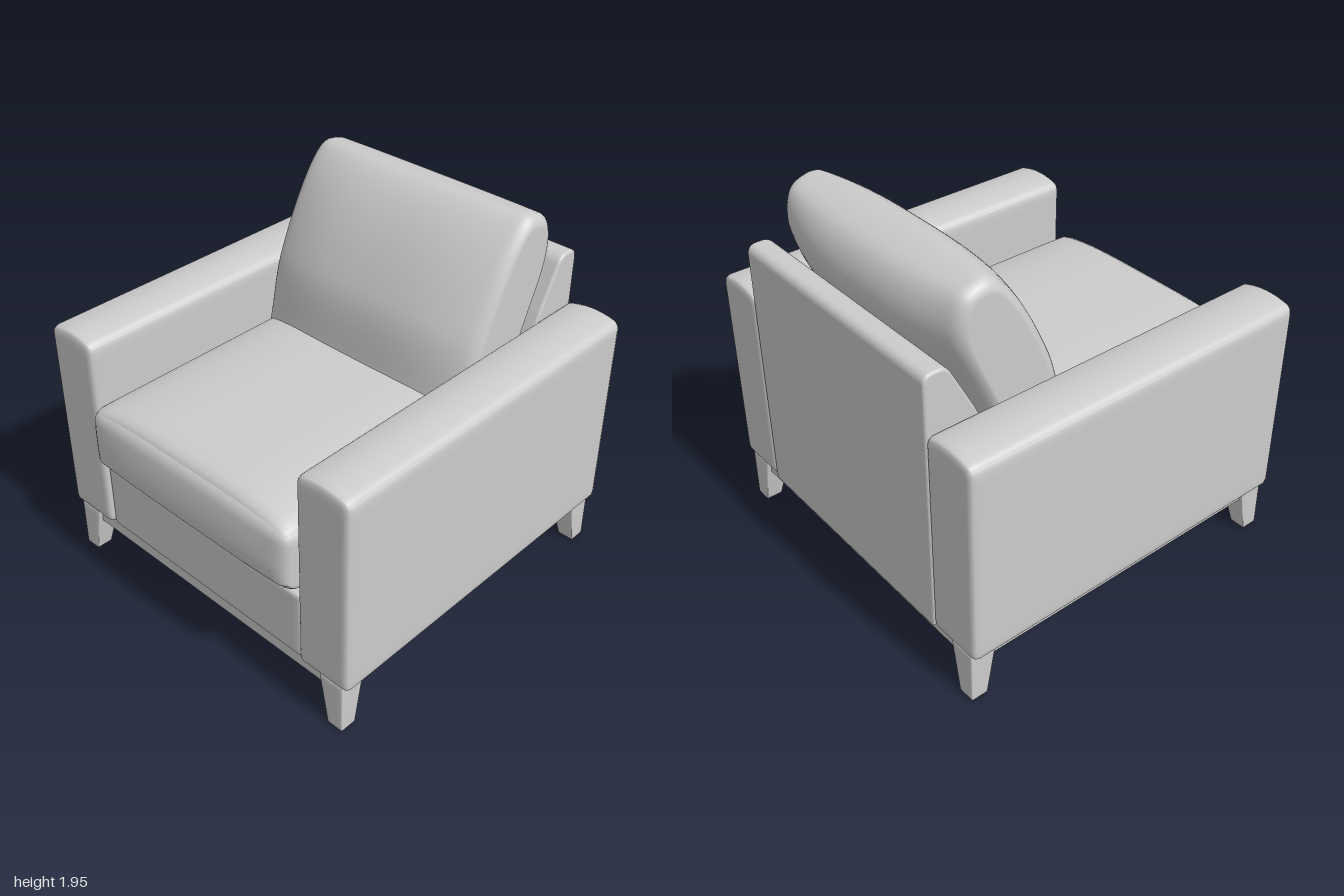
import * as THREE from 'three';
import { mergeVertices } from 'three/addons/utils/BufferGeometryUtils.js';

const upholstery = new THREE.MeshStandardMaterial({ color: 0xcccccc });
upholstery.name = 'greyUpholstery';

function part(name, geometry) {
  const mesh = new THREE.Mesh(geometry, upholstery);
  mesh.name = name;
  return mesh;
}

// Box with rounded edges; rule(p, u) may move each vertex, u being -1..1 on each axis.
function softBox([x0, x1], [y0, y1], [z0, z1], r, rule, n = 24) {
  let geo = new THREE.BoxGeometry(2, 2, 2, n, n, n);
  geo.deleteAttribute('uv');
  geo.deleteAttribute('normal');
  geo = mergeVertices(geo);
  const half = new THREE.Vector3(x1 - x0, y1 - y0, z1 - z0).multiplyScalar(0.5);
  const centre = new THREE.Vector3(x0 + x1, y0 + y1, z0 + z1).multiplyScalar(0.5);
  const inner = half.clone().subScalar(r);
  const pos = geo.attributes.position;
  const u = new THREE.Vector3();
  for (let i = 0; i < pos.count; i++) {
    u.fromBufferAttribute(pos, i);
    // Crowd the grid towards the edges so the rounding is smooth
    u.set(...u.toArray().map((v) => Math.sin((v * Math.PI) / 2)));
    const p = u.clone().multiply(half);
    const q = p.clone().clamp(inner.clone().negate(), inner);
    p.sub(q).setLength(r).add(q).add(centre);
    if (rule) rule(p, u);
    pos.setXYZ(i, p.x, p.y, p.z);
  }
  geo.computeVertexNormals();
  return geo;
}

// Leaning cushion: a side profile swept across x, thinner towards both ends.
function backCushion() {
  const profile = [
    [-0.14, 0.98], [-0.15, 1.12], [-0.185, 1.38], [-0.25, 1.54], [-0.35, 1.72], [-0.45, 1.85],
    [-0.54, 1.925], [-0.6, 1.945], [-0.7, 1.925], [-0.79, 1.88], [-0.84, 1.81], [-0.865, 1.71],
    [-0.85, 1.6], [-0.75, 1.38], [-0.62, 1.1], [-0.52, 0.96], [-0.4, 0.91], [-0.22, 0.92],
  ];
  const curve = new THREE.CatmullRomCurve3(profile.map(([z, y]) => new THREE.Vector3(0, y, z)), true);
  const around = 72, across = 40, halfWidth = 0.668, round = 0.06;
  const ring = curve.getPoints(around).slice(0, around);
  const centre = new THREE.Vector3(0, 1.43, -0.5);
  const axis = new THREE.Vector3(0, 0.93, -0.37).normalize();
  const pos = [], index = [];
  for (let i = 0; i <= across; i++) {
    const u = Math.sin((i / across - 0.5) * Math.PI);
    const x = u * halfWidth;
    const k = Math.max(0, (Math.abs(x) - halfWidth + round) / round);
    const inset = round * (1 - Math.sqrt(Math.max(0, 1 - k * k)));
    const thick = (1 - 0.36 * Math.abs(u) ** 3) * (1 - inset / 0.3);
    for (const p of ring) {
      const d = p.clone().sub(centre);
      const along = axis.clone().multiplyScalar(d.dot(axis));
      d.sub(along).multiplyScalar(thick);
      const q = along.multiplyScalar(1 - inset / 0.5).add(d).add(centre);
      pos.push(x + 0.006, q.y, q.z);
    }
  }
  for (let i = 0; i < across; i++) {
    for (let j = 0; j < around; j++) {
      const j2 = (j + 1) % around;
      const a = i * around + j, c = i * around + j2;
      index.push(a, a + around, c, a + around, c + around, c);
    }
  }
  // End caps
  const capL = pos.length / 3, last = across * around;
  pos.push(-halfWidth + 0.006, centre.y, centre.z, halfWidth + 0.006, centre.y, centre.z);
  for (let j = 0; j < around; j++) {
    const j2 = (j + 1) % around;
    index.push(capL, j, j2, capL + 1, last + j2, last + j);
  }
  const geo = new THREE.BufferGeometry();
  geo.setAttribute('position', new THREE.Float32BufferAttribute(pos, 3));
  geo.setIndex(index);
  geo.computeVertexNormals();
  return geo;
}

// Back rest: side profile with a sloping front, extruded across the width
function backRest() {
  const s = new THREE.Shape();
  s.moveTo(0.985, 0.295);
  s.lineTo(0.985, 1.6);
  s.quadraticCurveTo(0.985, 1.635, 0.95, 1.635);
  s.lineTo(0.92, 1.635);
  s.quadraticCurveTo(0.885, 1.635, 0.865, 1.59);
  s.lineTo(0.755, 1.38);
  s.lineTo(0.5, 0.8);
  s.lineTo(0.5, 0.295);
  const geo = new THREE.ExtrudeGeometry(s, {
    depth: 1.34, bevelThickness: 0.015, bevelSize: 0.015, bevelSegments: 4, curveSegments: 8,
  });
  // Shape x becomes -z, extrusion runs along x
  return geo.rotateY(Math.PI / 2).translate(-0.672, 0, 0);
}

export function createModel() {
  const chair = new THREE.Group();
  chair.name = 'armchair';

  // Arms with gently domed tops
  for (const [side, name] of [[1, 'leftArm'], [-1, 'rightArm']]) {
    const x = side > 0 ? [0.675, 0.982] : [-0.982, -0.675];
    chair.add(part(name, softBox(x, [0.28, 1.352], [-1, 0.92], 0.035, (p, u) => {
      if (u.y > 0) p.y += 0.028 * (1 - u.x * u.x) * u.y;
    })));
  }

  // Body
  chair.add(part('backRest', backRest()));
  chair.add(part('frontPanel', softBox([-0.677, 0.677], [0.28, 0.655], [0.6, 0.9], 0.02)));

  // Seat cushion: domed top, bulging nose, underside curling up at the front
  chair.add(part('seatCushion', softBox([-0.672, 0.672], [0.65, 1.035], [-0.6, 0.97], 0.06, (p, u) => {
    const bulge = 1 - u.x ** 4;
    const front = Math.max(0, u.z);
    if (u.y > 0) p.y += 0.073 * bulge * u.y * (1 - 0.5 * front ** 12);
    else p.y -= 0.065 * front ** 8 * u.y;
    p.z += 0.03 * bulge * (1 - u.y * u.y) * front;
  })));
  chair.add(part('backCushion', backCushion()));

  // Plinth, closed underneath
  chair.add(part('plinth', softBox([-0.922, 0.922], [0.2, 0.3], [-0.965, 0.885], 0.012)));

  // Legs: outer corner upright, inner faces tapering towards the floor
  for (const sx of [1, -1]) {
    for (const [sz, edge] of [[1, 0.91], [-1, 0.99]]) {
      const geo = softBox([-0.0725, 0.0725], [0, 0.285], [-0.0725, 0.0725], 0.012, (p) => {
        const scale = 0.62 + 0.38 * (p.y / 0.285);
        p.x = sx * 0.942 + (p.x - sx * 0.0725) * scale;
        p.z = sz * edge + (p.z - sz * 0.0725) * scale;
      }, 8);
      chair.add(part((sz > 0 ? 'front' : 'back') + (sx > 0 ? 'Left' : 'Right') + 'Leg', geo));
    }
  }
  return chair;
}
